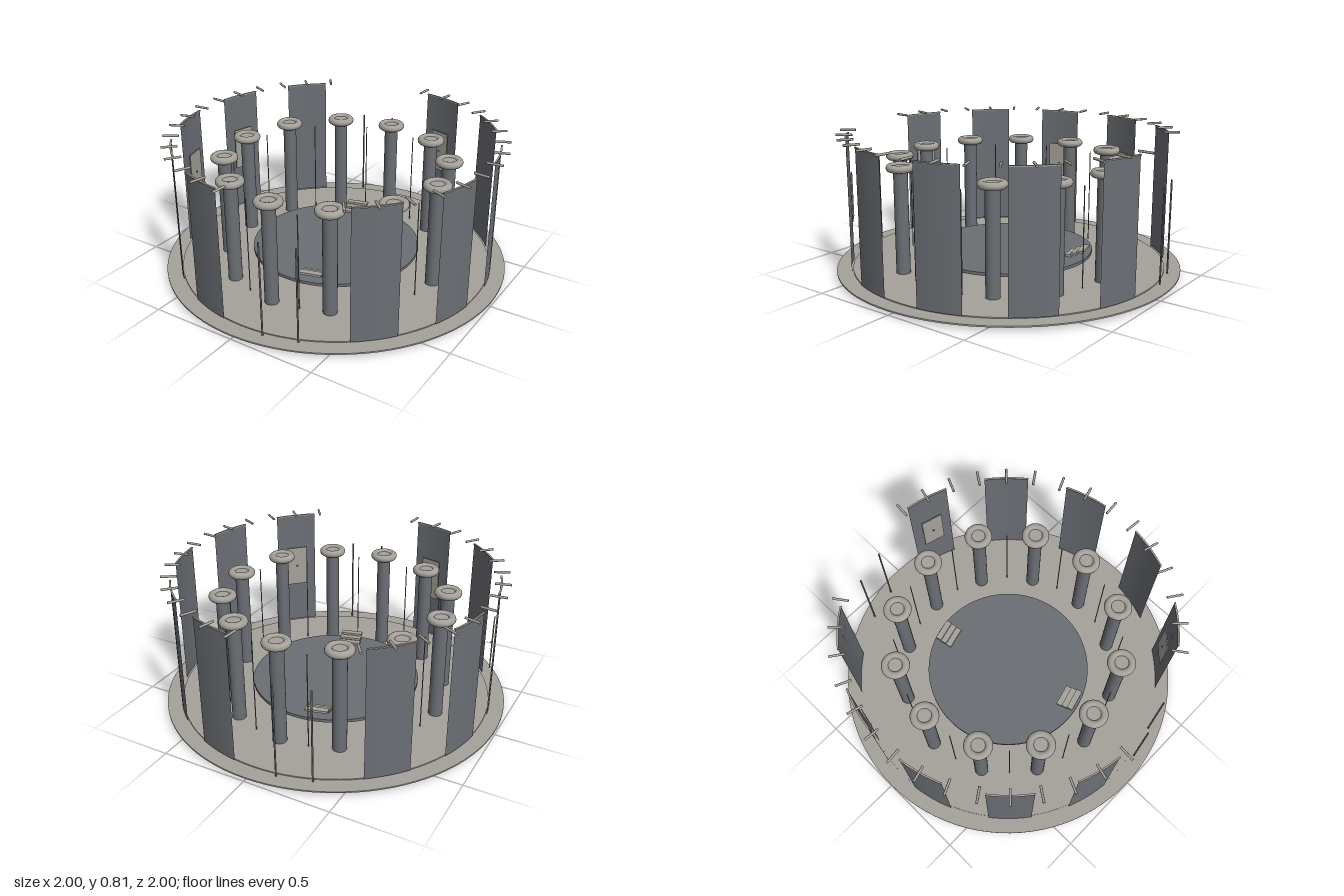
import * as THREE from 'three';

const rad = THREE.MathUtils.degToRad;

export function createModel() {
  const model = new THREE.Group();
  const stone = new THREE.MeshStandardMaterial({ color: 0xa5a19a });
  stone.name = 'pale stone';
  const slate = new THREE.MeshStandardMaterial({ color: 0x6b6f74, side: THREE.DoubleSide });
  slate.name = 'slate grey';

  const add = (parent, name, geometry, material, x = 0, y = 0, z = 0) => {
    const mesh = new THREE.Mesh(geometry, material);
    mesh.name = name;
    mesh.position.set(x, y, z);
    parent.add(mesh);
    return mesh;
  };
  // Group turned so that its local +z points outward at the given angle
  const spoke = (name, degrees) => {
    const group = new THREE.Group();
    group.name = name;
    group.rotation.y = rad(degrees);
    model.add(group);
    return group;
  };
  // Upright disc between two heights
  const disc = (name, radius, bottom, top, material) =>
    add(model, name, new THREE.CylinderGeometry(radius, radius, top - bottom, 96), material, 0, (bottom + top) / 2);

  // Floor
  disc('foot', 0.18, 0, 0.02, slate);
  disc('floor', 1, 0.02, 0.028, stone);
  disc('raisedFloor', 0.908, 0.028, 0.034, stone);

  // Central platform on stepped supports
  disc('platform', 0.49, 0.092, 0.11, slate);
  disc('upperSupport', 0.41, 0.072, 0.092, slate);
  disc('middleSupport', 0.33, 0.053, 0.072, slate);
  disc('lowerSupport', 0.25, 0.034, 0.053, slate);

  // Stairs descending onto the platform from both entrances
  const tread = new THREE.BoxGeometry(0.13, 0.013, 0.036);
  for (const angle of [15, 195]) {
    const stairs = spoke('stairs', angle);
    for (let i = 0; i < 3; i++) add(stairs, 'tread', tread, stone, 0, 0.118 + i * 0.015, 0.39 + i * 0.034);
  }

  // Ring of columns with thin rods between them
  const shaft = new THREE.CylinderGeometry(0.04, 0.04, 0.606, 24);
  const collar = new THREE.TorusGeometry(0.058, 0.022, 12, 32).rotateX(Math.PI / 2);
  const cap = new THREE.CylinderGeometry(0.041, 0.041, 0.008, 24);
  const rod = new THREE.CylinderGeometry(0.003, 0.003, 0.566, 6);
  for (let i = 0; i < 12; i++) {
    const column = spoke('column', i * 30);
    add(column, 'columnShaft', shaft, slate, 0, 0.337, 0.643);
    add(column, 'columnCollar', collar, stone, 0, 0.638, 0.643);
    add(column, 'columnCap', cap, stone, 0, 0.644, 0.643);
    add(spoke('rodSpoke', i * 30 + 15), 'rod', rod, slate, 0, 0.317, 0.643);
  }

  // Curved wall panels, with a pale top edge and three pegs each
  const R = 0.917;
  const half = rad(7.9);
  const sheet = new THREE.CylinderGeometry(R, R, 0.754, 6, 1, true, -half, 2 * half);
  const arc = new THREE.Shape();
  arc.absarc(0, 0, R + 0.005, -Math.PI / 2 - half, -Math.PI / 2 + half, false);
  arc.absarc(0, 0, R - 0.005, -Math.PI / 2 + half, -Math.PI / 2 - half, true);
  const edge = new THREE.ExtrudeGeometry(arc, { depth: 0.007, bevelEnabled: false, curveSegments: 6 });
  edge.rotateX(-Math.PI / 2);
  const peg = new THREE.CylinderGeometry(0.007, 0.007, 0.09, 8).rotateX(Math.PI / 2);
  const plate = new THREE.BoxGeometry(0.13, 0.26, 0.006);
  const knob = new THREE.CylinderGeometry(0.006, 0.006, 0.006, 12).rotateX(Math.PI / 2);
  const plated = [45, 165, 255, 285, 345];
  for (let angle = 45; angle < 360; angle += 30) {
    if (angle === 195) continue; // entrance
    const panel = spoke('wallPanel', angle);
    add(panel, 'panelSheet', sheet, slate, 0, 0.411);
    add(panel, 'panelTopEdge', edge, stone, 0, 0.786);
    for (const offset of [-10, 0, 10]) {
      const a = rad(offset);
      const mesh = add(panel, 'peg', peg, stone, Math.sin(a) * 0.925, 0.798, Math.cos(a) * 0.925);
      mesh.rotation.y = a;
    }
    if (plated.includes(angle)) {
      add(panel, 'wallPlate', plate, stone, 0, 0.44, 0.897);
      add(panel, 'plateKnob', knob, slate, 0, 0.44, 0.892);
    }
  }

  // Slim posts either side of both entrances
  const post = new THREE.CylinderGeometry(0.005, 0.005, 0.54, 8);
  for (const angle of [9, 21, 189, 201]) add(spoke('entrance', angle), 'entrancePost', post, slate, 0, 0.302, 0.93);

  return model;
}
